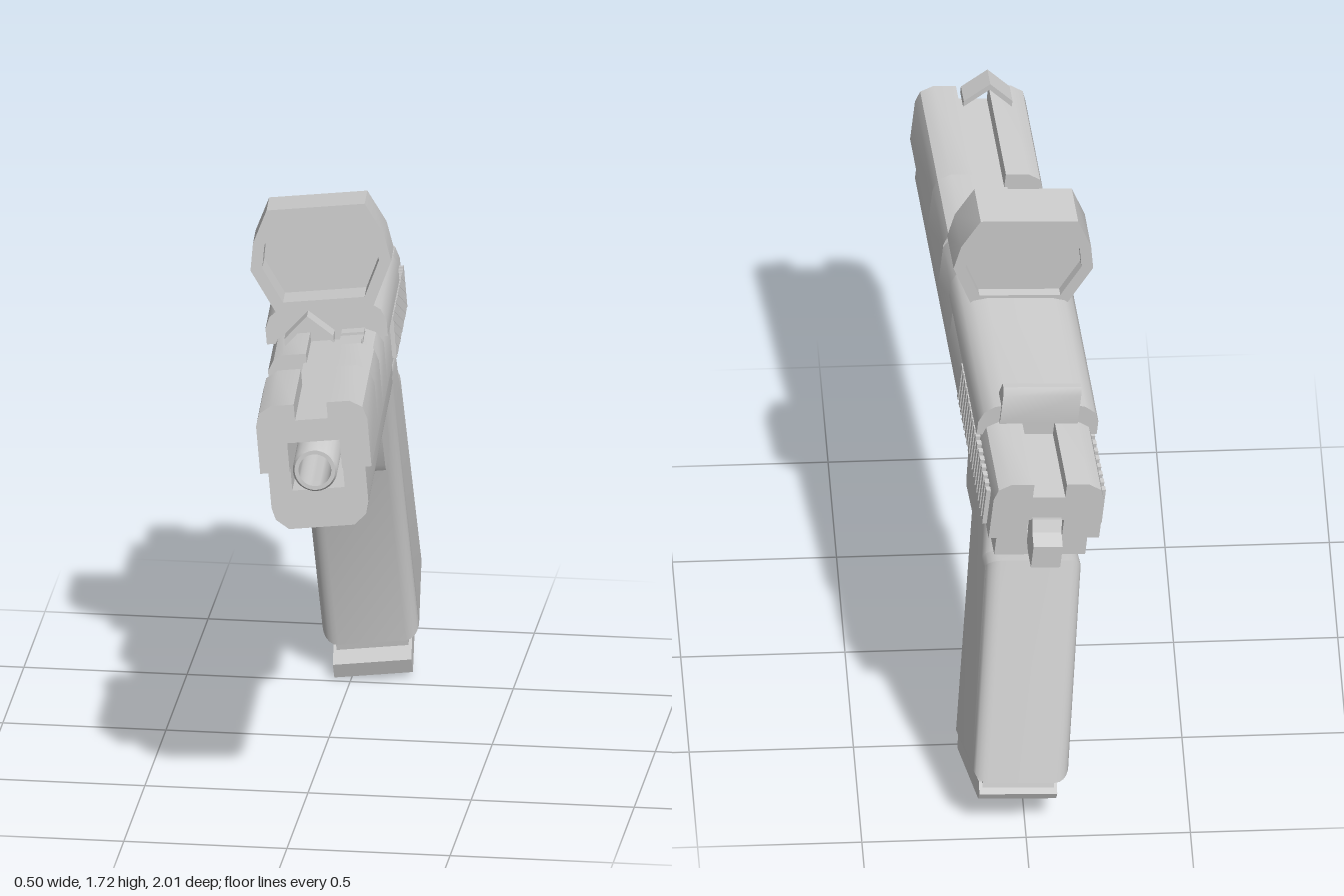
import * as THREE from 'three';
import { toCreasedNormals } from 'three/addons/utils/BufferGeometryUtils.js';

const material = new THREE.MeshStandardMaterial({ color: 0xcccccc, side: THREE.DoubleSide });
const shapeOf = (pts) => new THREE.Shape(pts.map(([x, y]) => new THREE.Vector2(x, y)));
const mirror = (half) => [...half, ...half.map(([x, y]) => [-x, y]).reverse()];

export function createModel() {
  const group = new THREE.Group();
  const add = (name, geometry) => {
    const mesh = new THREE.Mesh(geometry, material);
    mesh.name = name;
    group.add(mesh);
    return mesh;
  };
  // Cross-section (x, y) swept along the bore from z0 to z1
  const along = (name, pts, z0, z1, hole) => {
    const shape = shapeOf(pts);
    if (hole) shape.holes.push(new THREE.Path(shapeOf(hole).getPoints()));
    const g = new THREE.ExtrudeGeometry(shape, { depth: z1 - z0, bevelEnabled: false });
    return add(name, toCreasedNormals(g.translate(0, 0, z0), 0.6));
  };
  // Side outline (z, y) swept across the width, with optional rounded edges
  const across = (name, pts, halfWidth, round = 0) => {
    const g = new THREE.ExtrudeGeometry(shapeOf(pts), {
      depth: 2 * (halfWidth - round), bevelEnabled: round > 0, bevelThickness: round,
      bevelSize: round, bevelOffset: -round, bevelSegments: 5,
    });
    g.translate(0, 0, round - halfWidth).rotateY(-Math.PI / 2);
    return add(name, toCreasedNormals(g, 0.6));
  };
  const box = (name, w, h, d, x, y, z) => add(name, new THREE.BoxGeometry(w, h, d).translate(x, y, z));

  // Slide, in sections with a sighting channel and an ejection opening
  const shoulder = [[0.17, -0.01], [0.17, 0.14], [0.158, 0.178], [0.12, 0.2]];
  const channel = [[0.05, 0.2], [0.05, 0.15]];
  const notch = [[0.08, 0.08], [0.08, -0.01]];
  along('slideFront', mirror([...notch, ...shoulder, ...channel]), 0.55, 0.97);
  along('slideOpenSection', [[-0.17, -0.01], ...shoulder, ...channel,
    [-0.06, 0.15], [-0.06, 0.04], [-0.17, 0.04]], 0.29, 0.55);
  const lowered = [[0.17, -0.01], [0.17, 0.13], [0.15, 0.165], [0.12, 0.178]];
  along('slideChamber', mirror([...lowered, [0.05, 0.178], [0.05, 0.15]]), 0.03, 0.29);
  along('slideMiddle', mirror(lowered), -0.62, 0.03);
  along('slideRear', mirror([[0.055, 0.06], [0.055, -0.01], ...shoulder, ...channel]), -0.92, -0.62);
  box('chamberStep', 0.07, 0.022, 0.06, 0.085, 0.189, 0.26);
  for (const z of [0.18, 0.1]) box('topRib', 0.07, 0.014, 0.05, 0.085, 0.184, z);

  // Grip serrations on both sides of the slide
  for (const side of [-1, 1])
    for (let i = 0; i < 17; i++)
      box('serration', 0.024, 0.13, 0.02, side * 0.172, 0.066, -0.27 - i * 0.0365);

  // Barrel
  add('barrel', toCreasedNormals(new THREE.LatheGeometry([[0.05, 0.3], [0.068, 0.3], [0.068, 1.0],
    [0.062, 1.01], [0.05, 1.01], [0.05, 0.3]].map(([r, y]) => new THREE.Vector2(r, y)), 32)
    .rotateX(Math.PI / 2), 0.6));

  // Frame under the slide, and its rear tang
  along('frame', mirror([[0.08, -0.08], [0.08, -0.01], [0.148, -0.01], [0.148, -0.13],
    [0.138, -0.168], [0.1, -0.2]]), -0.5, 0.93);
  box('frameRear', 0.28, 0.09, 0.42, 0, -0.055, -0.68);

  // Hammer
  across('hammer', [[-0.88, 0.06], [-0.935, 0.075], [-0.955, 0.04], [-1.0, 0.02],
    [-1.0, -0.06], [-0.93, -0.06], [-0.88, -0.04]], 0.045);

  // Grip and magazine
  across('grip', [[-0.4, -0.08], [-0.466, -0.18], [-0.676, -0.996], [-1.062, -0.863],
    [-0.841, -0.166], [-0.78, -0.176], [-0.74, -0.08]], 0.148, 0.045);
  across('magazine', [[-0.67, -0.95], [-0.69, -1.03], [-1.02, -0.92], [-1.0, -0.85]], 0.11);
  across('magazineBase', [[-0.61, -1.04], [-0.63, -1.085], [-1.025, -0.955],
    [-1.035, -0.93], [-1.005, -0.905]], 0.12);

  // Block ahead of the grip, trigger and its guard
  across('guardBlock', [[-0.21, -0.18], [-0.25, -0.33], [-0.265, -0.35], [-0.485, -0.34],
    [-0.54, -0.25], [-0.47, -0.17]], 0.12);
  across('trigger', [[-0.155, -0.18], [-0.165, -0.265], [-0.075, -0.355], [-0.095, -0.362],
    [-0.19, -0.275], [-0.185, -0.18]], 0.022);
  across('triggerGuard', [[0.11, -0.18], [0.104, -0.342], [-0.072, -0.442], [-0.53, -0.439],
    [-0.53, -0.421], [-0.075, -0.42], [0.084, -0.33], [0.09, -0.18]], 0.036);

  // Sight base and rear ridge
  const base = [[0.185, 0.15], [0.185, 0.2], [0.17, 0.235], [0.14, 0.257], [0.1, 0.267]];
  along('sightBase', mirror(base), -0.62, 0.04);
  across('rearRidge', [[-0.55, 0.25], [-0.595, 0.33], [-0.615, 0.332], [-0.63, 0.31], [-0.63, 0.2]], 0.12);

  // Sight hood with a lens plate
  const hood = (k) => mirror([[0.15, 0.25], [0.215, 0.385], [0.2, 0.47], [0.15, 0.57]])
    .map(([x, y]) => [x * k, 0.415 + (y - 0.415) * k]);
  along('sightHood', hood(1), -0.115, 0.04, hood(0.83));
  along('lens', hood(0.84), -0.085, -0.075);

  // Floating chevron in front of the lens
  along('chevron', [[-0.075, 0.335], [0, 0.402], [0.075, 0.335], [0.075, 0.357],
    [0, 0.424], [-0.075, 0.357]], 0.71, 0.78);

  // Tilt the whole build along its bore
  const forward = new THREE.Vector3(0.076, 0.0865, 1).normalize();
  const left = new THREE.Vector3(0.996, 0.09, -0.0835).normalize();
  const up = new THREE.Vector3().crossVectors(forward, left).normalize();
  left.crossVectors(up, forward);
  group.quaternion.setFromRotationMatrix(new THREE.Matrix4().makeBasis(left, up, forward));
  group.position.set(0.01, 1.134, 0);
  const model = new THREE.Group();
  model.name = 'pistol';
  model.add(group);
  return model;
}
